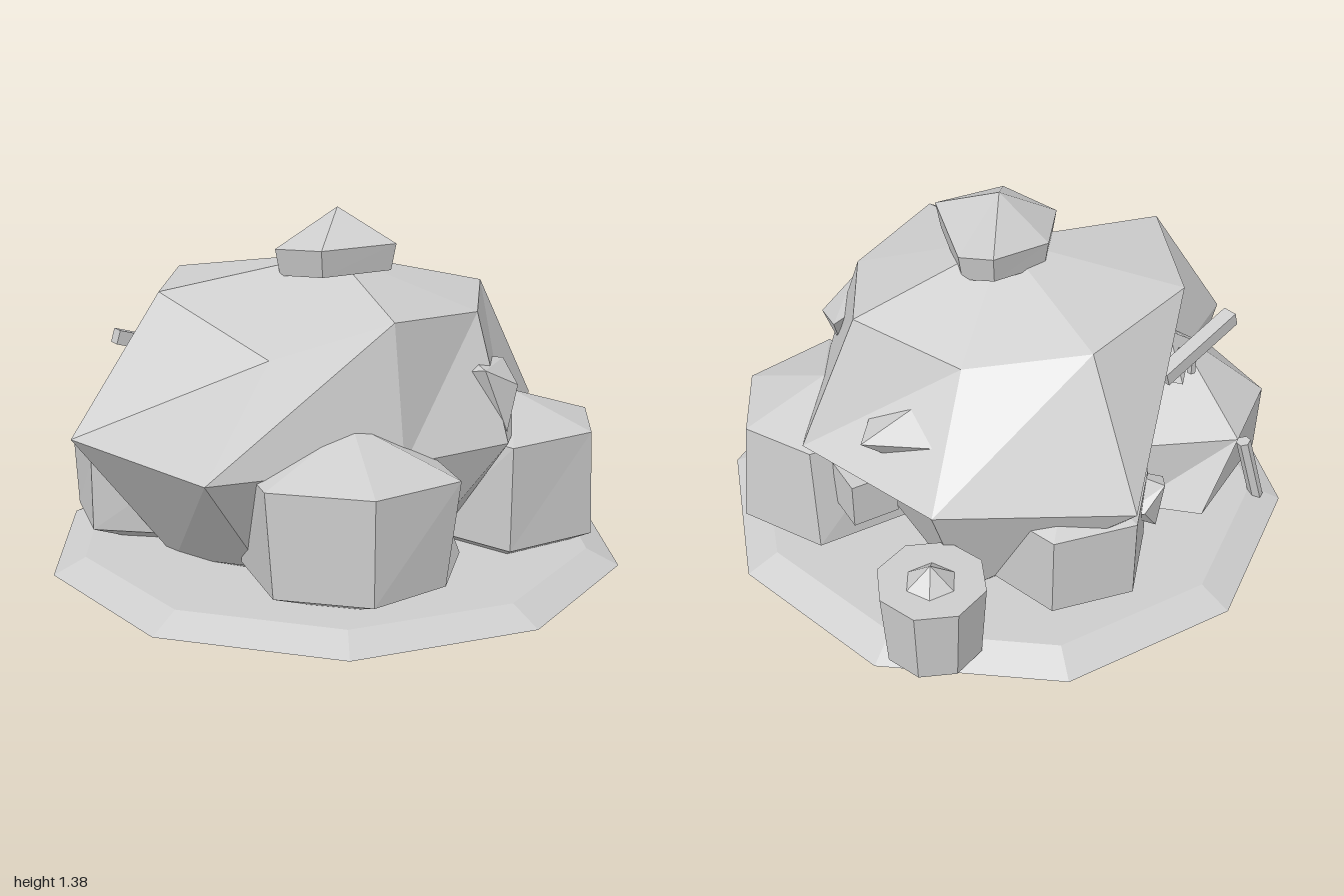
import * as THREE from 'three';
import { ConvexGeometry } from 'three/addons/geometries/ConvexGeometry.js';

const grey = new THREE.MeshStandardMaterial({ color: 0xcccccc, flatShading: true });
grey.name = 'plain grey';

// Faceted skin through equal rings listed top to bottom, closed by two poles
function loft(top, rings, bottom) {
  const pos = [];
  const tri = (a, b, c) => pos.push(...a, ...b, ...c);
  const n = rings[0].length;
  for (let k = 0; k < n; k++) {
    const j = (k + 1) % n;
    tri(top, rings[0][k], rings[0][j]);
    for (let i = 0; i < rings.length - 1; i++) {
      const u = rings[i], l = rings[i + 1];
      tri(u[k], l[k], u[j]);
      tri(u[j], l[k], l[j]);
    }
    const last = rings[rings.length - 1];
    tri(last[j], last[k], bottom);
  }
  const g = new THREE.BufferGeometry();
  g.setAttribute('position', new THREE.Float32BufferAttribute(pos, 3));
  g.computeVertexNormals();
  return g;
}

// Level ring of [x, z] corners at height y
const level = (y, corners) => corners.map(([x, z]) => [x, y, z]);

export function createModel() {
  const group = new THREE.Group();
  const add = (name, geometry, x = 0, y = 0, z = 0) => {
    const m = new THREE.Mesh(geometry, grey);
    m.name = name;
    m.position.set(x, y, z);
    group.add(m);
    return m;
  };

  // Ten-sided bevelled ground slab
  add('groundSlab', new THREE.CylinderGeometry(0.89, 1, 0.05, 10, 1, false, Math.PI / 2), 0, 0.22, 0);

  // Large lumpy sack; rings run from the right side through the front
  const upper = [[-0.61, 1.13, 0], [-0.34, 0.95, 0.32], [0, 1.09, 0.53], [0.37, 1.06, 0.35],
    [0.55, 1.09, 0], [0.33, 1.01, -0.31], [0, 1.1, -0.55], [-0.43, 1.13, -0.42]];
  const middle = level(0.66, [[-0.92, 0], [-0.64, 0.61], [0, 0.62], [0.4, 0.54],
    [0.76, 0], [0.56, -0.53], [0, -0.83], [-0.42, -0.32]]);
  const lower = [[-0.58, 0.2, 0], [-0.41, 0.3, 0.42], [0, 0.19, 0.48], [0.3, 0.34, 0.34],
    [0.5, 0.4, 0], [0.4, 0.2, -0.43], [0, 0.22, -0.45], [-0.4, 0.2, -0.34]];
  add('mainSack', loft([0, 1.22, 0], [upper, middle, lower], [0, 0, 0]));

  // Small sacks around the foot
  add('frontSack', loft([-0.15, 0.79, 0.55], [
    level(0.65, [[-0.48, 0.69], [-0.2, 0.875], [0.11, 0.8], [0.14, 0.4], [-0.17, 0.22], [-0.47, 0.38]]),
    level(0.31, [[-0.46, 0.7], [-0.2, 0.87], [0.07, 0.79], [0.23, 0.55], [-0.17, 0.21], [-0.46, 0.38]]),
  ], [-0.17, 0.17, 0.55]));
  add('leftSack', loft([0.58, 0.74, 0.22], [
    level(0.64, [[0.28, 0.22], [0.42, 0.54], [0.75, 0.47], [0.88, 0.2], [0.75, -0.03], [0.41, -0.06]]),
    level(0.28, [[0.25, 0.25], [0.42, 0.54], [0.76, 0.48], [0.92, 0.2], [0.76, -0.08], [0.4, -0.08]]),
  ], [0.54, 0.11, 0.22]));
  add('rightSack', loft([-0.57, 0.79, -0.21], [
    level(0.55, [[-0.84, -0.09], [-0.56, 0.08], [-0.27, -0.09], [-0.29, -0.45], [-0.59, -0.58], [-0.84, -0.39]]),
    level(0.3, [[-0.84, -0.1], [-0.55, 0.06], [-0.25, -0.09], [-0.26, -0.45], [-0.44, -0.61], [-0.83, -0.39]]),
  ], [-0.54, 0.15, -0.25]));
  const backOutline = [0, 1, 2, 3, 4, 5].map((k) => {
    const a = 0.85 + (k * Math.PI) / 3;
    return [0.06 - 0.28 * Math.cos(a), -0.53 + 0.28 * Math.sin(a)];
  });
  add('backSack', loft([0.06, 0.7, -0.53],
    [level(0.58, backOutline), level(0.29, backOutline)], [0.06, 0.12, -0.53]));

  // Pointed cap on the summit
  const brim = [[-0.22, 1.25, 0.03], [-0.13, 1.27, 0.23], [0.13, 1.28, 0.23],
    [0.19, 1.23, -0.04], [0.14, 1.28, -0.18], [-0.08, 1.26, -0.15]];
  const under = brim.map(([x, y, z]) => [x * 0.92, y - 0.09, z * 0.92]);
  add('summitCap', loft([0, 1.38, 0.03], [brim, under], [0, 1.15, 0.03]));

  // Can with a small faceted knob
  add('can', new THREE.CylinderGeometry(0.178, 0.16, 0.27, 8), 0.61, 0.365, -0.615);
  add('canKnob', new THREE.ConeGeometry(0.09, 0.07, 6, 1, false, Math.PI / 6), 0.615, 0.53, -0.62);

  // Broken shards stuck in the pile
  const shards = {
    frontShard: [[0.28, 0.87, 0.38], [0.33, 0.9, 0.5], [0.5, 0.88, 0.29], [0.35, 0.91, 0.32],
      [0.47, 0.83, 0.46], [0.41, 0.69, 0.51], [0.43, 0.7, 0.4]],
    sideShard: [[0.66, 0.8, -0.25], [0.48, 0.81, -0.39], [0.57, 0.8, -0.13], [0.48, 0.87, -0.25],
      [0.55, 0.71, -0.26]],
    backShard: [[-0.07, 0.5, -0.66], [-0.12, 0.52, -0.71], [-0.2, 0.6, -0.7], [-0.25, 0.56, -0.62],
      [-0.19, 0.42, -0.68], [-0.15, 0.55, -0.5]],
    stickShard: [[-0.34, 0.77, -0.36], [-0.45, 0.9, -0.33], [-0.56, 0.82, -0.32], [-0.45, 0.74, -0.43],
      [-0.42, 0.76, -0.25]],
  };
  for (const [name, pts] of Object.entries(shards)) {
    add(name, new ConvexGeometry(pts.map((p) => new THREE.Vector3(...p))));
  }

  // Crate corner under the sack's overhang
  add('crate', new THREE.BoxGeometry(0.16, 0.16, 0.15), 0.6, 0.51, -0.125);

  // Tilted plank and two short pegs under it
  const plank = add('plank', new THREE.BoxGeometry(0.34, 0.05, 0.05), -0.52, 0.855, -0.4);
  plank.rotation.set(0, 0.2, -0.3);
  for (const x of [-0.47, -0.52]) {
    add('plankPeg', new THREE.CylinderGeometry(0.015, 0.015, 0.11, 5), x, 0.79, -0.38);
  }

  // Leaning stick
  const foot = new THREE.Vector3(-0.73, 0.22, -0.55);
  const tip = new THREE.Vector3(-0.66, 0.48, -0.53);
  const dir = tip.clone().sub(foot);
  const stick = add('stick', new THREE.CylinderGeometry(0.025, 0.025, dir.length(), 6));
  stick.position.copy(foot).add(tip).multiplyScalar(0.5);
  stick.quaternion.setFromUnitVectors(new THREE.Vector3(0, 1, 0), dir.normalize());

  return group;
}
